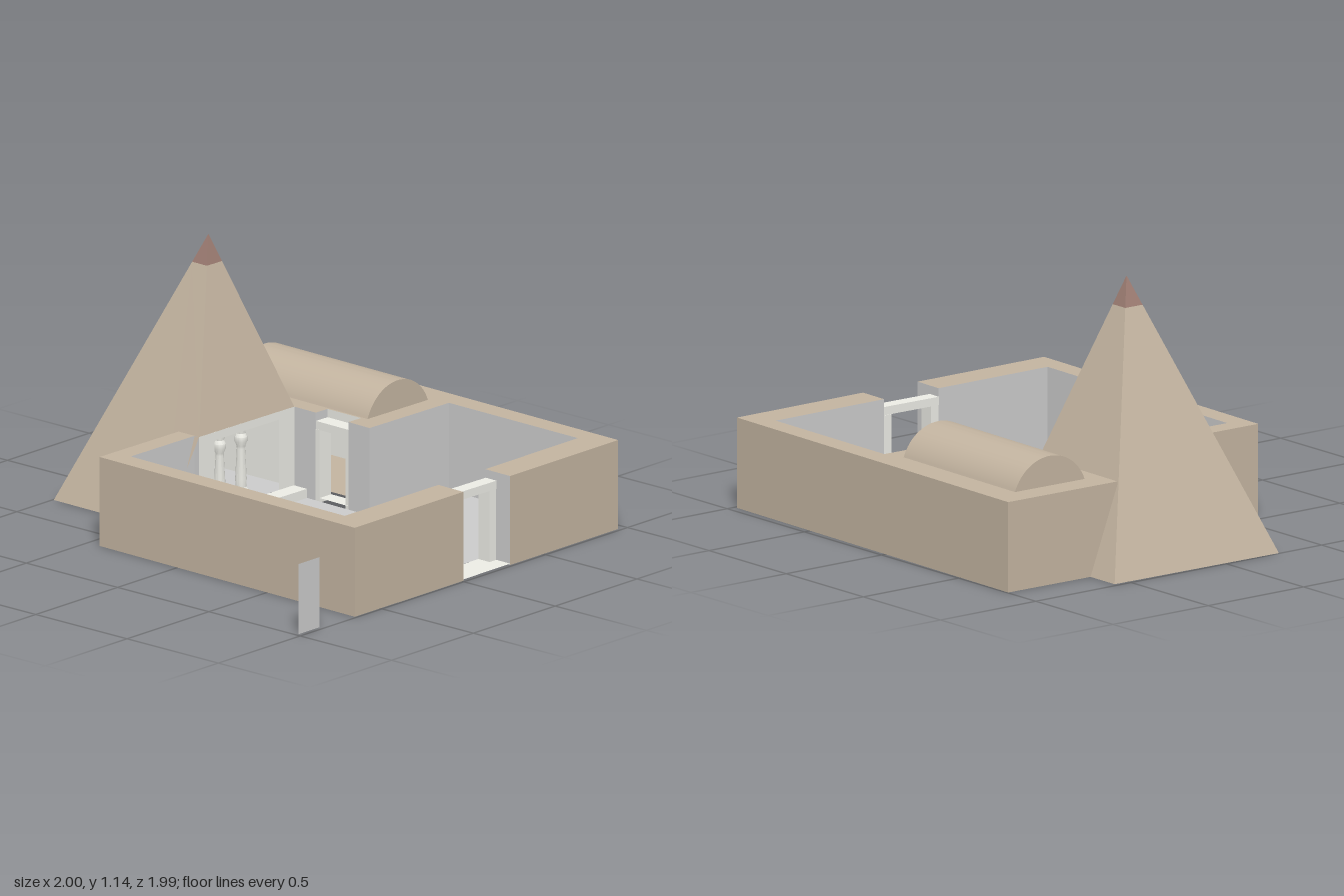
import * as THREE from 'three';
import { toCreasedNormals } from 'three/addons/utils/BufferGeometryUtils.js';

const mat = (color) => new THREE.MeshStandardMaterial({ color, side: THREE.DoubleSide });
const TILT = -0.02; // the whole plan is turned very slightly
const WALL = 0.38;

export function createModel() {
  const model = new THREE.Group();
  const tan = mat(0xc3b4a0), grey = mat(0xcccccc), pale = mat(0xecece5), dark = mat(0x9c7c72);

  const add = (name, geometry, material, x = 0, y = 0, z = 0, turn = 0) => {
    const mesh = new THREE.Mesh(geometry, material);
    mesh.name = name;
    mesh.position.set(x, y, z);
    mesh.rotation.y = turn;
    model.add(mesh);
    return mesh;
  };
  const box = (name, w, h, d, x, y, z, material) =>
    add(name, new THREE.BoxGeometry(w, h, d), material, x, y + h / 2, z, TILT);

  // horizontal polygon from [x, z] corners
  const slab = (name, pts, y, material) => {
    const shape = new THREE.Shape(pts.map(([x, z]) => new THREE.Vector2(x, -z)));
    add(name, new THREE.ShapeGeometry(shape).rotateX(-Math.PI / 2), material, 0, y, 0);
  };

  // flat convex polygons from [x, y, z] corners
  const faces = (name, polys, material) => {
    const pos = [];
    for (const p of polys)
      for (let i = 1; i < p.length - 1; i++) pos.push(...p[0], ...p[i], ...p[i + 1]);
    const g = new THREE.BufferGeometry();
    g.setAttribute('position', new THREE.Float32BufferAttribute(pos, 3));
    g.computeVertexNormals();
    add(name, g, material);
  };

  // vertical sheets along a path of [x, z] points
  const sheets = (name, pts, y0, y1, material) => {
    const polys = [];
    for (let i = 0; i < pts.length - 1; i++) {
      const [a, b] = [pts[i], pts[i + 1]];
      polys.push([[a[0], y0, a[1]], [b[0], y0, b[1]], [b[0], y1, b[1]], [a[0], y1, a[1]]]);
    }
    faces(name, polys, material);
  };

  // enclosure: hollow walls split by the gate and the shrine
  const outerRight = [[0.297, 0.987], [0.96, 0.985], [0.995, -0.815], [0.43, -0.825], [0.42, -0.31]];
  const doorNotch = [[0.417, -0.185], [0.487, -0.183], [0.485, 0.003], [0.41, 0]];
  const innerRight = [[0.405, 0.12], [0.88, 0.13], [0.87, 0.845], [0.3, 0.848]];
  const outerLeft = [[0.008, 0.99], [-0.655, 0.99], [-0.625, -0.435], [-0.15, -0.428]];
  const innerLeft = [[-0.15, -0.34], [-0.535, -0.345], [-0.56, 0.85], [0.012, 0.85]];
  slab('wallTopRight', [...outerRight, ...doorNotch, ...innerRight], WALL, tan);
  slab('wallTopLeft', [...outerLeft, ...innerLeft], WALL, tan);
  sheets('outerWallRight', outerRight, 0, WALL, tan);
  sheets('outerWallLeft', outerLeft, 0, WALL, tan);
  sheets('innerWallRight', [outerRight[4], doorNotch[0], doorNotch[1]], 0, WALL, grey);
  sheets('innerWallCorner', [doorNotch[2], doorNotch[3], ...innerRight, outerRight[0]], 0, WALL, grey);
  sheets('innerWallLeft', [[-0.15, -0.315], ...innerLeft, outerLeft[0]], 0, WALL, grey);

  // floors
  slab('courtFloor', [[0.42, -0.31], [0.405, 0.12], ...innerRight.slice(1, 3), [-0.56, 0.85],
    [-0.535, -0.345], [-0.15, -0.34], [-0.15, -0.315]], 0.006, grey);
  slab('gateThreshold', [outerRight[0], innerRight[3], innerLeft[3], outerLeft[0]], 0.006, pale);
  slab('annexThreshold', doorNotch, 0.02, pale);

  // gate frame, set at the inner side of the front wall
  box('gateLintel', 0.285, 0.035, 0.06, 0.155, 0.31, 0.88, pale);
  for (const x of [0.032, 0.278]) box('gateJamb', 0.04, 0.31, 0.06, x, 0, 0.88, pale);

  // annex doorway
  box('annexLintel', 0.07, 0.035, 0.184, 0.45, 0.31, -0.091, pale);
  for (const z of [-0.173, -0.01]) box('annexJamb', 0.07, 0.31, 0.02, 0.45, 0, z, pale);

  // annex room and its vaulted roof
  const room = [[0.485, 0.003], [0.485, 0.03], [0.855, 0.037], [0.87, -0.7], [0.5, -0.707], [0.487, -0.183]];
  sheets('annexRoomWalls', room, 0.03, WALL, pale);
  slab('annexFloor', room, 0.03, tan);
  const radius = 0.192, rise = 0.125;
  const half = Math.acos((radius - rise) / radius);
  const vault = new THREE.Shape();
  vault.absarc(0, rise - radius, radius, Math.PI / 2 - half, Math.PI / 2 + half, false);
  const vaultGeo = new THREE.ExtrudeGeometry(vault, { depth: 0.74, bevelEnabled: false, curveSegments: 24 });
  add('barrelVault', toCreasedNormals(vaultGeo.translate(0, 0, -0.37), 0.6), tan, 0.68, WALL, -0.335, TILT);

  // pyramid, open at the front below the wall top, with a darker tip
  const apex = [0.135, 1.14, -0.52];
  const BL = [-0.28, 0, -0.995], BR = [0.57, 0, -0.98];
  const FL = [-0.15, WALL, -0.315], FR = [0.42, WALL, -0.305];
  const footL = [-0.288, 0, -0.39], footR = [0.566, 0, -0.39];
  const cut = (p) => {
    const t = (1.02 - p[1]) / (apex[1] - p[1]);
    return p.map((v, i) => v + (apex[i] - v) * t);
  };
  const [bl, br, fl, fr] = [BL, BR, FL, FR].map(cut);
  faces('pyramid', [
    [FL, FR, fr, fl], [BR, BL, bl, br],
    [bl, BL, footL, FL, fl], [fr, FR, footR, BR, br],
  ], tan);
  faces('pyramidTip', [[fl, fr, apex], [fr, br, apex], [br, bl, apex], [bl, fl, apex]], dark);

  // shrine front: side panels and lintel
  sheets('shrinePanelLeft', [[-0.15, -0.315], [-0.06, -0.313]], 0, WALL, pale);
  sheets('shrinePanelRight', [[0.33, -0.307], [0.42, -0.305]], 0, WALL, pale);
  sheets('shrineLintel', [[-0.06, -0.313], [0.33, -0.307]], 0.345, WALL, pale);

  // shrine chamber
  const chamber = [[-0.06, -0.313], [-0.13, -0.36], [-0.12, -0.83], [0.4, -0.82], [0.4, -0.35], [0.33, -0.307]];
  sheets('chamberWalls', chamber, 0.045, 0.345, pale);
  slab('chamberFloor', chamber, 0.045, grey);
  slab('chamberCeiling', chamber, 0.345, pale);

  // platform in front of the shrine with a lower step in the middle
  box('platformLeft', 0.18, 0.045, 0.073, -0.06, 0, -0.278, pale);
  box('platformRight', 0.185, 0.045, 0.073, 0.324, 0, -0.27, pale);
  box('platformStep', 0.2, 0.022, 0.073, 0.13, 0, -0.274, pale);

  // columns
  const profile = [[0, 0], [0.03, 0], [0.03, 0.015], [0.022, 0.025], [0.024, 0.06], [0.017, 0.19],
    [0.018, 0.2], [0.026, 0.22], [0.026, 0.24], [0.018, 0.255], [0.024, 0.3], [0, 0.3]];
  const columnGeo = toCreasedNormals(
    new THREE.LatheGeometry(profile.map(([r, y]) => new THREE.Vector2(r, y)), 16), 0.6);
  for (const x of [0.07, 0.2]) add('column', columnGeo, pale, x, 0.045, -0.4);

  // detached upright panel
  add('standingPanel', new THREE.PlaneGeometry(0.13, 0.3), grey, -0.935, 0.155, 0.99);

  return model;
}
